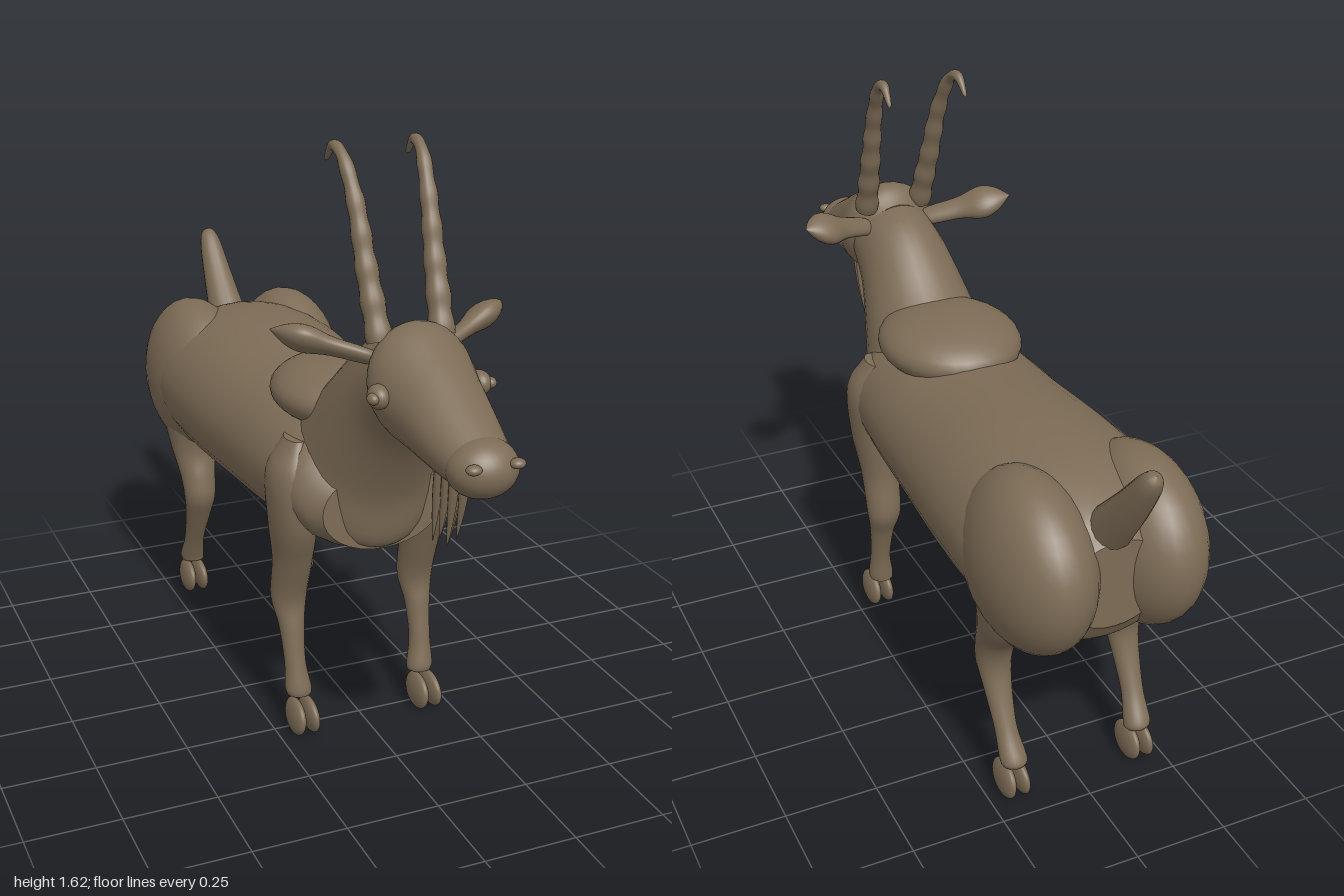
import * as THREE from 'three';

const coat = new THREE.MeshStandardMaterial({ color: 0x7d6c56 });
coat.name = 'brown coat';
const V = (x, y, z) => new THREE.Vector3(x, y, z);

function add(group, name, geometry) {
  const mesh = new THREE.Mesh(geometry, coat);
  mesh.name = name;
  group.add(mesh);
  return mesh;
}

function ellipsoid(group, name, pos, radii) {
  const mesh = add(group, name, new THREE.SphereGeometry(1, 32, 20));
  mesh.position.set(...pos);
  mesh.scale.set(...radii);
  return mesh;
}

// Smooth closed loft. Each section is an ellipse through two points of a side
// profile: [z1, y1, z2, y2, halfWidth], centred on x.
function loft(sections, x = 0, sides = 32, sub = 6) {
  const a = new THREE.CatmullRomCurve3(sections.map(s => V(s[0], s[1], s[4])), false, 'catmullrom');
  const b = new THREE.CatmullRomCurve3(sections.map(s => V(s[2], s[3], s[5] ?? x)), false, 'catmullrom');
  const n = (sections.length - 1) * sub, pos = [], idx = [];
  const centres = [];
  for (let i = 0; i <= n; i++) {
    const p = a.getPoint(i / n), q = b.getPoint(i / n);
    const cz = (p.x + q.x) / 2, cy = (p.y + q.y) / 2;
    centres.push([q.z, cy, cz]);
    for (let j = 0; j < sides; j++) {
      const t = j / sides * Math.PI * 2, c = Math.cos(t);
      pos.push(q.z + p.z * Math.sin(t), cy + (p.y - cy) * c, cz + (p.x - cz) * c);
    }
  }
  for (let i = 0; i < n; i++) for (let j = 0; j < sides; j++) {
    const k = (j + 1) % sides, r = i * sides, s = r + sides;
    idx.push(r + j, s + j, r + k, r + k, s + j, s + k);
  }
  // end caps with their own vertices
  for (const [ring, flip] of [[0, false], [n, true]]) {
    const base = pos.length / 3, from = ring * sides * 3;
    pos.push(...pos.slice(from, from + sides * 3), ...centres[ring]);
    for (let j = 0; j < sides; j++) {
      const k = (j + 1) % sides;
      idx.push(base + sides, base + (flip ? k : j), base + (flip ? j : k));
    }
  }
  // turn the faces outward
  const at = i => V(pos[i * 3], pos[i * 3 + 1], pos[i * 3 + 2]);
  let volume = 0;
  for (let i = 0; i < idx.length; i += 3) volume += at(idx[i]).dot(at(idx[i + 1]).cross(at(idx[i + 2])));
  if (volume < 0) idx.reverse();
  const g = new THREE.BufferGeometry();
  g.setAttribute('position', new THREE.Float32BufferAttribute(pos, 3));
  g.setIndex(idx);
  g.computeVertexNormals();
  return g;
}

// Tube along a path whose radius follows a function of t
function taper(points, radius, seg = 40, sides = 16) {
  const curve = new THREE.CatmullRomCurve3(points);
  const g = new THREE.TubeGeometry(curve, seg, 1, sides);
  const p = g.attributes.position, v = V(0, 0, 0);
  for (let i = 0; i < p.count; i++) {
    const t = Math.floor(i / (sides + 1)) / seg, c = curve.getPointAt(t);
    v.fromBufferAttribute(p, i).sub(c).multiplyScalar(radius(t)).add(c);
    p.setXYZ(i, v.x, v.y, v.z);
  }
  g.computeVertexNormals();
  return g;
}

export function createModel() {
  const goat = new THREE.Group();
  goat.name = 'goat';

  // Trunk, neck and head
  add(goat, 'torso', loft([
    [0.40, 0.80, 0.40, 0.57, 0.17], [0.30, 0.90, 0.33, 0.555, 0.235],
    [0.12, 0.93, 0.12, 0.53, 0.26], [-0.1, 0.94, -0.1, 0.515, 0.272],
    [-0.40, 0.96, -0.40, 0.50, 0.29], [-0.62, 0.95, -0.62, 0.505, 0.285],
    [-0.77, 0.90, -0.77, 0.53, 0.22], [-0.83, 0.84, -0.83, 0.60, 0.14]]));
  add(goat, 'neck', loft([
    [0.57, 1.20, 0.60, 0.97, 0.115], [0.41, 1.16, 0.52, 0.86, 0.13],
    [0.24, 1.02, 0.45, 0.72, 0.165], [0.12, 0.93, 0.41, 0.58, 0.19],
    [0.02, 0.84, 0.30, 0.56, 0.18]]));
  ellipsoid(goat, 'withers', [0, 0.925, 0.14], [0.195, 0.088, 0.22]);
  add(goat, 'head', loft([
    [0.50, 1.19, 0.53, 1.02, 0.09], [0.575, 1.232, 0.60, 0.95, 0.134],
    [0.70, 1.175, 0.71, 0.935, 0.115], [0.82, 1.11, 0.82, 0.928, 0.098],
    [0.92, 1.055, 0.91, 0.925, 0.08]]));
  ellipsoid(goat, 'muzzle', [0, 0.99, 0.915], [0.086, 0.07, 0.077]);

  // Tail with a rounded tip
  add(goat, 'tail', taper([V(0, 0.86, -0.79), V(0, 0.97, -0.88), V(0, 1.10, -0.975)],
    t => (0.058 - 0.03 * t) * Math.sqrt(Math.max(0, 1 - Math.pow(t, 14)))));

  // Beard strands
  for (let i = 0; i < 7; i++) {
    const x = (i - 3) * 0.009, z = 0.785 + (i % 3 - 1) * 0.022;
    add(goat, 'beardStrand', taper(
      [V(x, 0.95, z), V(x, 0.85, z - 0.015), V(x * 0.9, 0.735 + (i % 2) * 0.015, z - 0.035)],
      t => 0.013 * (1 - t * t) + 0.0008, 12, 8));
  }

  for (const s of [1, -1]) {
    const side = new THREE.Group();
    side.name = s > 0 ? 'leftSide' : 'rightSide';
    goat.add(side);

    // Face details
    ellipsoid(side, 'nostril', [s * 0.054, 1.015, 0.978], [0.019, 0.012, 0.017]);
    ellipsoid(side, 'eye', [s * 0.132, 1.085, 0.645], [0.026, 0.03, 0.035]);
    ellipsoid(side, 'pupil', [s * 0.152, 1.087, 0.66], [0.015, 0.014, 0.018]);

    // Ridged horn sweeping up and back
    add(side, 'horn', taper(
      [V(s * 0.082, 1.18, 0.54), V(s * 0.09, 1.35, 0.475), V(s * 0.096, 1.50, 0.42),
        V(s * 0.104, 1.595, 0.36), V(s * 0.107, 1.61, 0.315), V(s * 0.109, 1.565, 0.27)],
      t => 0.031 * Math.pow(1 - t, 0.45) * (1 + 0.07 * Math.sin(t * 45)) + 0.001, 72));

    // Leaf-shaped ear
    const root = V(s * 0.09, 1.135, 0.515), tip = V(s * 0.312, 1.203, 0.41);
    const outline = new THREE.SplineCurve([[0, 0], [0.026, 0.01], [0.034, 0.4], [0.05, 0.66], [0.036, 0.84], [0, 1]]
      .map(([r, t]) => new THREE.Vector2(r, t * root.distanceTo(tip)))).getPoints(24)
      .map(p => p.setX(Math.max(0, p.x)));
    const ear = add(side, 'ear', new THREE.LatheGeometry(outline, 24));
    const up = tip.clone().sub(root).normalize();
    const wide = V(0, 0.45, 0.9).addScaledVector(up, -V(0, 0.45, 0.9).dot(up)).normalize();
    ear.quaternion.setFromRotationMatrix(
      new THREE.Matrix4().makeBasis(wide, up, wide.clone().cross(up)));
    ear.position.copy(root);
    ear.scale.set(1.05, 1, 0.65);

    // Haunch
    ellipsoid(side, 'haunch', [s * 0.15, 0.73, -0.66], [0.146, 0.232, 0.247]);

    // Legs: front and back edge of each section, half width, x
    const section = ([y, front, back, hw, x]) => [front, y, back, y, hw, s * x];
    add(side, 'frontLeg', loft([
      [0.85, 0.29, 0.20, 0.025, 0.185], [0.76, 0.335, 0.165, 0.06, 0.2],
      [0.62, 0.335, 0.16, 0.062, 0.193], [0.50, 0.29, 0.165, 0.053, 0.186],
      [0.38, 0.247, 0.153, 0.049, 0.187], [0.30, 0.255, 0.185, 0.035, 0.187],
      [0.20, 0.272, 0.212, 0.029, 0.186], [0.13, 0.288, 0.22, 0.036, 0.182],
      [0.11, 0.288, 0.222, 0.034, 0.18]].map(section), 0, 24));
    add(side, 'backLeg', loft([
      [0.62, -0.51, -0.76, 0.085, 0.18], [0.52, -0.525, -0.69, 0.068, 0.185],
      [0.44, -0.508, -0.62, 0.054, 0.187], [0.37, -0.502, -0.597, 0.047, 0.187],
      [0.30, -0.535, -0.61, 0.038, 0.187], [0.20, -0.59, -0.652, 0.03, 0.186],
      [0.13, -0.623, -0.696, 0.036, 0.182], [0.11, -0.63, -0.694, 0.034, 0.18]]
      .map(section), 0, 24));

    // Cloven hooves
    for (const z of [0.285, -0.652]) for (const d of [-1, 1]) {
      const hoof = ellipsoid(side, 'hoofToe', [s * (0.182 + d * 0.02), 0.056, z], [0.019, 0.05, 0.062]);
      hoof.rotation.z = s * d * 0.06;
    }
  }
  return goat;
}
